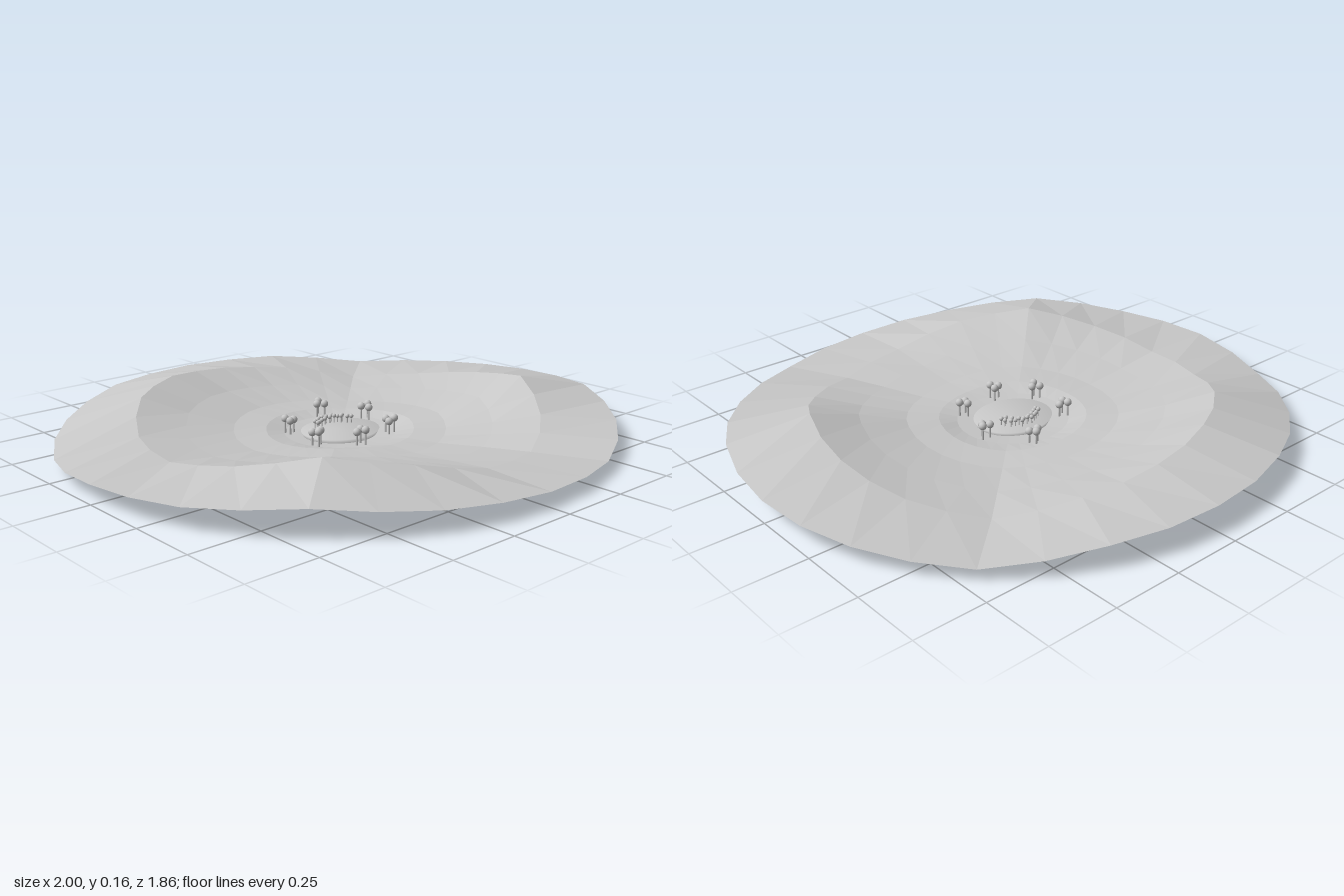
import * as THREE from 'three';

const grey = new THREE.MeshStandardMaterial({ color: 0xc8c8c8 });
const terrainGrey = grey.clone();
grey.name = 'stone grey';
terrainGrey.name = 'terrain grey';
terrainGrey.side = THREE.DoubleSide;
terrainGrey.flatShading = true;

const SEGMENTS = 32;
// heights every 22.5 degrees, starting at +x and turning towards +z
const RIDGE = [.115, .16, .09, .04, .06, .12, .16, .11, .07, .08, .14, .15, .125, .09, .04, .07];
const RIM = [.08, .10, .07, .04, .05, .07, .10, .075, .065, .035, .06, .09, .09, .08, .04, .06];

function sample(table, k) {
  const i = Math.floor(k / 2);
  const a = table[i % 16], b = table[(i + 1) % 16];
  return k % 2 ? (a + b) / 2 : a;
}

// rings from the crater outwards: radius and height rule
const RINGS = [
  { r: 0.13, h: () => 0.018 },
  { r: 0.20, h: () => 0.024 },
  { r: 0.265, h: k => 0.036 + 0.1 * (sample(RIDGE, k) - 0.09) },
  { r: 0.38, h: k => 0.038 + 0.2 * (sample(RIDGE, k) - 0.09) },
  { r: 0.545, h: k => 0.06 + 0.5 * (sample(RIDGE, k) - 0.09) },
  { r: 0.715, h: k => sample(RIDGE, k) },
  { r: 1, h: k => sample(RIM, k) },
];

function buildTerrain() {
  const positions = [], index = [];
  RINGS.forEach(({ r, h }, ring) => {
    for (let k = 0; k < SEGMENTS; k++) {
      const a = (k / SEGMENTS) * Math.PI * 2;
      positions.push(Math.cos(a) * r, h(k), Math.sin(a) * r * (r < 0.8 ? 0.955 : 0.93));
      if (ring === 0) continue;
      const next = (k + 1) % SEGMENTS;
      const a0 = (ring - 1) * SEGMENTS + k, a1 = (ring - 1) * SEGMENTS + next;
      const b0 = ring * SEGMENTS + k, b1 = ring * SEGMENTS + next;
      index.push(a0, a1, b0, a1, b1, b0);
    }
  });
  const geometry = new THREE.BufferGeometry();
  geometry.setAttribute('position', new THREE.Float32BufferAttribute(positions, 3));
  geometry.setIndex(index);
  geometry.computeVertexNormals();
  const mesh = new THREE.Mesh(geometry, terrainGrey);
  mesh.name = 'terrain';
  return mesh;
}

// softly shaded disc filling the crater
function buildPool() {
  const profile = [[0, 0], [0.13, 0], [0.147, 0.032], [0, 0.034]].map(p => new THREE.Vector2(...p));
  const mesh = new THREE.Mesh(new THREE.LatheGeometry(profile, 48), grey);
  mesh.scale.z = 0.86;
  mesh.name = 'pool';
  return mesh;
}

const crownGeometry = new THREE.SphereGeometry(0.014, 12, 8);
const trunkGeometry = new THREE.CylinderGeometry(0.003, 0.004, 0.045, 6);

// clump of three round-topped trees
function buildClump(x, y, z, size, turn) {
  const clump = new THREE.Group();
  for (let i = 0; i < 3; i++) {
    const a = turn + (i * Math.PI * 2) / 3;
    const px = Math.cos(a) * 0.018, pz = Math.sin(a) * 0.016;
    const trunk = new THREE.Mesh(trunkGeometry, grey);
    trunk.name = 'trunk';
    trunk.position.set(px, 0.022, pz);
    const crown = new THREE.Mesh(crownGeometry, grey);
    crown.name = 'crown';
    crown.position.set(px, 0.046 + i * 0.003, pz);
    clump.add(trunk, crown);
  }
  clump.position.set(x, y, z);
  clump.scale.setScalar(size);
  clump.name = 'treeClump';
  return clump;
}

export function createModel() {
  const model = new THREE.Group();
  model.name = 'craterLand';
  model.add(buildTerrain(), buildPool());

  // trees around the crater
  const spots = [[-0.148, -0.1], [0.07, -0.19], [0.17, -0.05], [0.115, 0.13], [-0.05, 0.16], [-0.168, 0.07]];
  spots.forEach(([x, z], i) => model.add(buildClump(x, 0.024, z, 1, i * 0.8)));

  // small arc of trees on the pool
  for (let i = 0; i < 6; i++) {
    const a = Math.PI * (1.23 + i * 0.125);
    model.add(buildClump(Math.cos(a) * 0.08, 0.03, Math.sin(a) * 0.08, 0.55, i));
  }
  return model;
}
